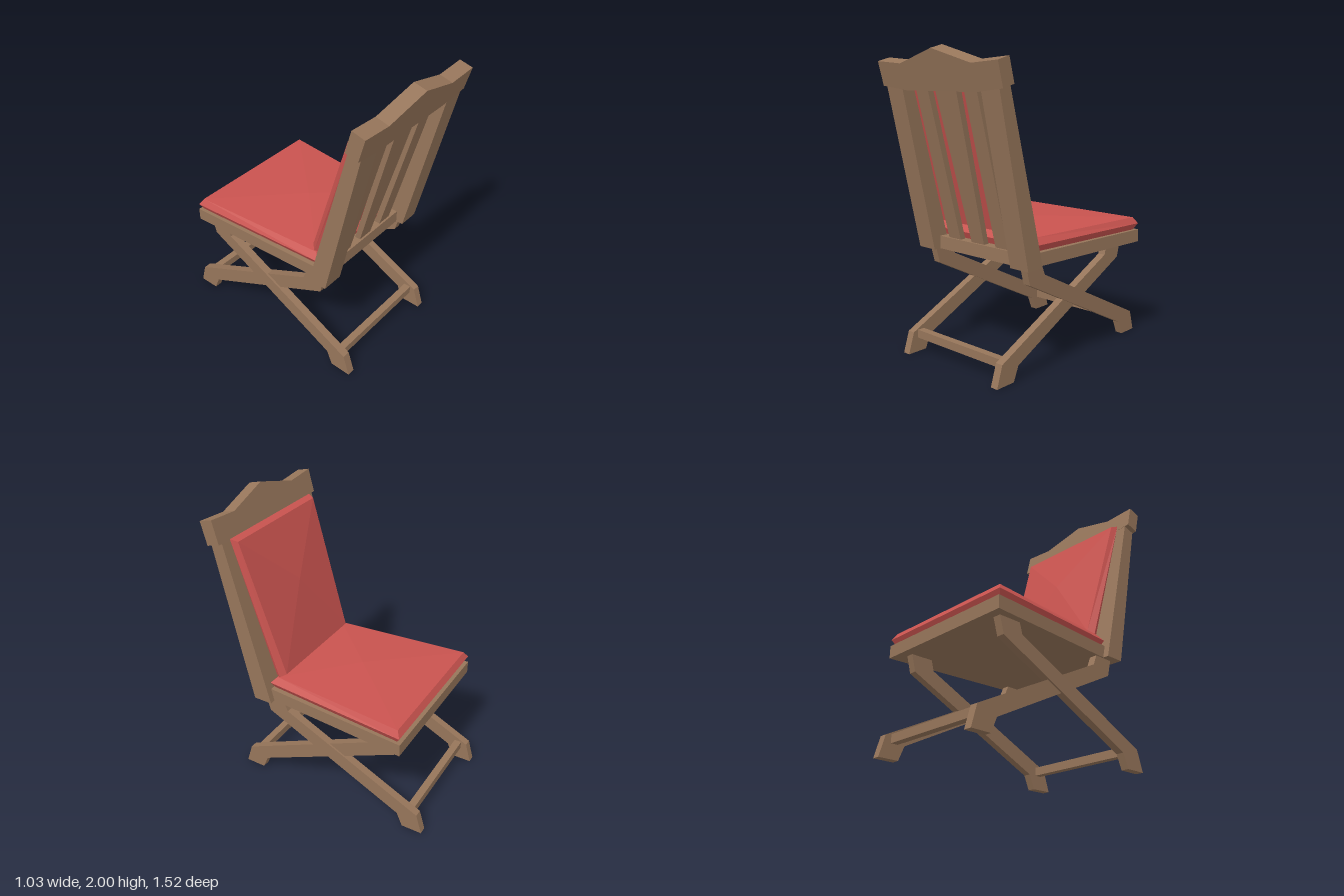
import * as THREE from 'three';

const wood = new THREE.MeshStandardMaterial({ color: 0x96755a });
wood.name = 'brown wood';
const fabric = new THREE.MeshStandardMaterial({ color: 0xc9534f });
fabric.name = 'red fabric';

// Flat-faced solid through rings of four corners; an optional apex crowns the last ring.
function loft(rings, apex) {
  const tris = [];
  const quad = (a, b, c, d) => tris.push([a, b, c], [a, c, d]);
  for (let r = 0; r < rings.length - 1; r++) {
    for (let i = 0; i < 4; i++) {
      const j = (i + 1) % 4;
      quad(rings[r][i], rings[r][j], rings[r + 1][j], rings[r + 1][i]);
    }
  }
  const first = rings[0], last = rings[rings.length - 1];
  quad(first[3], first[2], first[1], first[0]);
  if (apex) for (let i = 0; i < 4; i++) tris.push([last[i], last[(i + 1) % 4], apex]);
  else quad(...last);

  // Turn the faces outward whichever way the rings run
  const c = new THREE.Vector3();
  rings.flat().forEach((p) => c.add(new THREE.Vector3(...p)));
  c.divideScalar(rings.length * 4);
  let volume = 0;
  for (const t of tris) {
    const [p, q, s] = t.map((v) => new THREE.Vector3(...v).sub(c));
    volume += p.dot(q.cross(s));
  }
  if (volume < 0) tris.forEach((t) => t.reverse());

  const geo = new THREE.BufferGeometry();
  geo.setAttribute('position', new THREE.Float32BufferAttribute(tris.flat(2), 3));
  geo.computeVertexNormals();
  return geo;
}

const shapeOf = (pts) => new THREE.Shape(pts.map(([x, y]) => new THREE.Vector2(x, y)));

// Side profile of [z, y] points, extruded from x0 to x1
function sideProfile(pts, x0, x1) {
  const geo = new THREE.ExtrudeGeometry(shapeOf(pts), { depth: x1 - x0, bevelEnabled: false });
  return geo.rotateY(-Math.PI / 2).translate(x1, 0, 0);
}

// Horizontal trapezoid: wide at the seat's front, narrow toward the back
const flatRing = (y, zFront, zBack, wFront, wBack) => [
  [-wFront, y, zFront], [wFront, y, zFront], [wBack, y, zBack], [-wBack, y, zBack],
];
// Leaning trapezoid from a lower edge to an upper edge
const leanRing = (y0, z0, w0, y1, z1, w1) => [
  [-w0, y0, z0], [w0, y0, z0], [w1, y1, z1], [-w1, y1, z1],
];

export function createModel() {
  const chair = new THREE.Group();
  chair.name = 'foldingChair';
  const add = (name, geo, mat) => {
    const mesh = new THREE.Mesh(geo, mat);
    mesh.name = name;
    chair.add(mesh);
    return mesh;
  };

  // Crossed legs
  const frontFootLeg = [
    [0.42, 0.69], [0.39, 0.58], [-0.58, 0.095], [-0.62, 0],
    [-0.76, 0], [-0.72, 0.14], [0.25, 0.62], [0.28, 0.69],
  ];
  const backFootLeg = [
    [0.655, 0], [0.61, 0.14], [-0.395, 0.62], [-0.415, 0.69],
    [-0.57, 0.69], [-0.54, 0.58], [0.47, 0.095], [0.51, 0],
  ];
  for (const [side, x0, x1] of [['right', -0.458, -0.405], ['left', 0.354, 0.406]]) {
    add(side + 'BackFootLeg', sideProfile(backFootLeg, x0, x1), wood);
    const geo = sideProfile(frontFootLeg, x0, x1);
    // This leg drifts sideways a little as it rises
    const p = geo.attributes.position;
    for (let i = 0; i < p.count; i++) {
      p.setX(i, p.getX(i) + 0.022 * (p.getZ(i) + 0.76) / 1.18);
    }
    geo.computeVertexNormals();
    add(side + 'FrontFootLeg', geo, wood);
  }

  // Bars between the feet
  for (const [name, z] of [['frontStretcher', -0.655], ['backStretcher', 0.55]]) {
    add(name, new THREE.BoxGeometry(0.77, 0.055, 0.05).translate(-0.026, 0.122, z), wood);
  }

  // Seat board and its cushion
  add('seatFrame', loft([
    flatRing(0.69, -0.63, 0.42, 0.515, 0.44),
    flatRing(0.775, -0.63, 0.42, 0.515, 0.44),
  ]), wood);
  add('seatCushion', loft([
    flatRing(0.775, -0.6, 0.35, 0.49, 0.41),
    flatRing(0.818, -0.625, 0.37, 0.515, 0.435),
    flatRing(0.86, -0.6, 0.33, 0.488, 0.405),
  ], [0, 0.885, -0.08]), fabric);

  // Back posts
  const post = [[0.47, 0.69], [0.34, 0.69], [0.62, 1.78], [0.705, 1.76]];
  add('rightBackPost', sideProfile(post, -0.485, -0.34), wood);
  add('leftBackPost', sideProfile(post, 0.34, 0.485), wood);

  // Slats, the middle one widening upward
  const slat = [[0.405, 0.77], [0.365, 0.77], [0.622, 1.77], [0.662, 1.76]];
  add('rightSlat', sideProfile(slat, -0.265, -0.157), wood);
  add('leftSlat', sideProfile(slat, 0.157, 0.262), wood);
  add('middleSlat', loft([
    leanRing(0.77, 0.365, 0.055, 1.77, 0.622, 0.092),
    leanRing(0.77, 0.405, 0.055, 1.76, 0.662, 0.092),
  ]), wood);

  // Peaked rail across the top, leaning with the back
  const crest = shapeOf([
    [-0.515, 0.025], [-0.3, 0], [0.3, 0], [0.515, 0.025],
    [0.515, 0.181], [0.305, 0.165], [0, 0.253], [-0.305, 0.165], [-0.515, 0.181],
  ]);
  const rail = add('topRail',
    new THREE.ExtrudeGeometry(crest, { depth: 0.092, bevelEnabled: false }), wood);
  rail.position.set(0, 1.755, 0.612);
  rail.rotation.x = 0.255;

  // Back cushion
  add('backCushion', loft([
    leanRing(0.865, 0.352, 0.385, 1.775, 0.618, 0.41),
    leanRing(0.862, 0.315, 0.405, 1.79, 0.602, 0.43),
    leanRing(0.88, 0.28, 0.373, 1.775, 0.557, 0.41),
  ], [0, 1.385, 0.405]), fabric);

  return chair;
}
